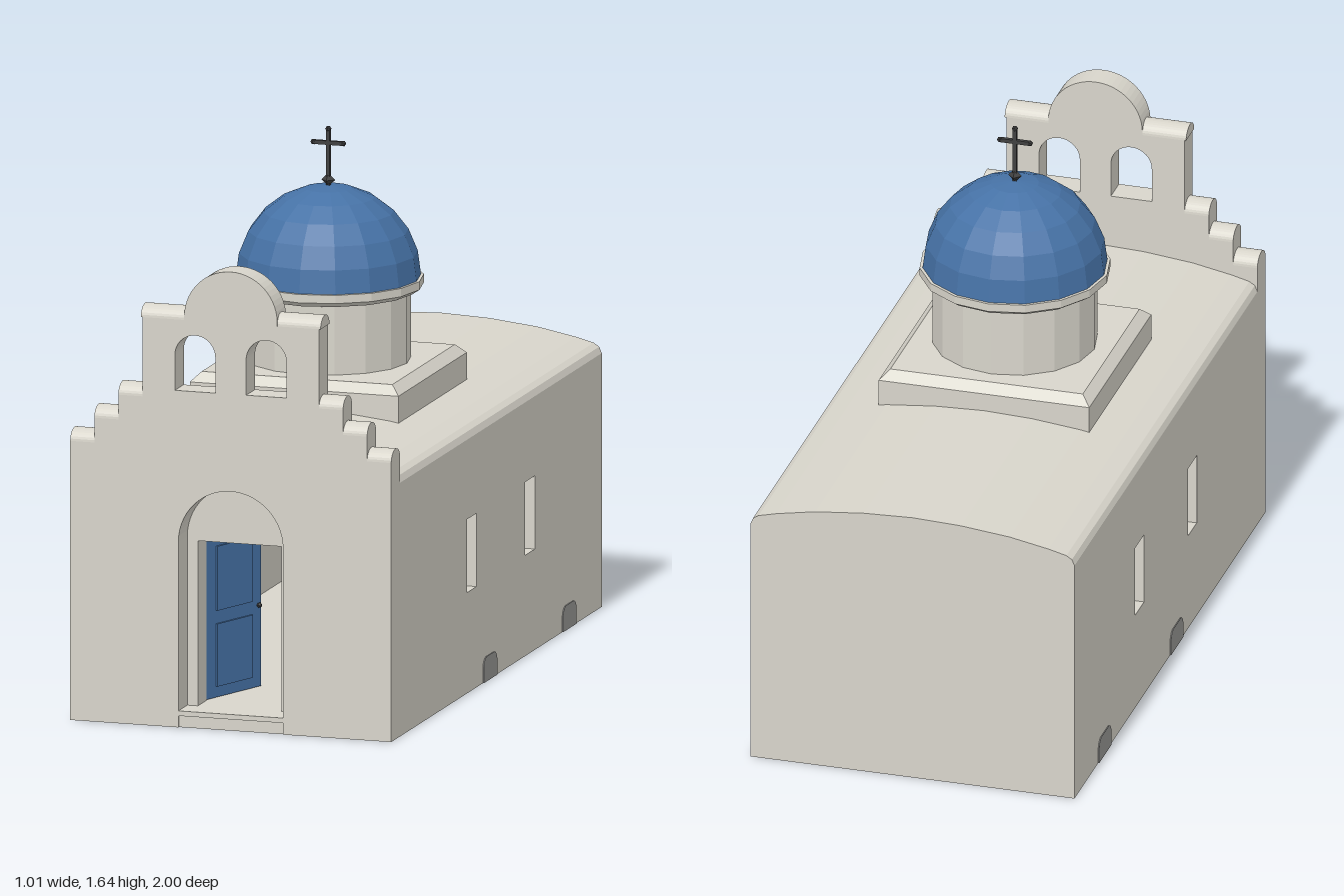
import * as THREE from 'three';

const mat = (name, color) => { const m = new THREE.MeshStandardMaterial({ color }); m.name = name; return m; };

export function createModel() {
  const model = new THREE.Group();
  model.name = 'domedChapel';
  const white = mat('whitewash', 0xd8d5cb);
  const blue = mat('blue', 0x4672a6);
  const dark = mat('darkIron', 0x404040);
  const grey = mat('greyStone', 0x989896);
  const tan = mat('ochre', 0xb08f5f);

  // Helpers: faceted mesh, box from limits, extrusion along z
  const add = (name, geo, material, x = 0, y = 0, z = 0, parent = model) => {
    const g = geo.index ? geo.toNonIndexed() : geo;
    g.computeVertexNormals();
    const m = new THREE.Mesh(g, material);
    m.name = name;
    m.position.set(x, y, z);
    parent.add(m);
    return m;
  };
  const box = (name, material, x0, x1, y0, y1, z0, z1, parent) =>
    add(name, new THREE.BoxGeometry(x1 - x0, y1 - y0, z1 - z0), material,
      (x0 + x1) / 2, (y0 + y1) / 2, (z0 + z1) / 2, parent);
  const extrude = (shape, depth, curveSegments = 12) =>
    new THREE.ExtrudeGeometry(shape, { depth, bevelEnabled: false, curveSegments });
  const polygon = pts => new THREE.Shape(pts.map(p => new THREE.Vector2(...p)));
  const rect = (x0, x1, y0, y1) => polygon([[x0, y0], [x1, y0], [x1, y1], [x0, y1]]);

  const FRONT = 0.915, EAVE = 0.75, CZ = 0.073;

  // Stepped facade with arched gable, bell openings and door niche
  const facade = new THREE.Shape();
  facade.moveTo(0.163, 0);
  [[0.5, 0], [0.5, 0.845], [0.425, 0.845], [0.425, 0.92], [0.35, 0.92], [0.35, 0.995],
    [0.275, 0.995], [0.275, 1.235], [0.145, 1.235]].forEach(p => facade.lineTo(...p));
  facade.absarc(0, 1.245, 0.145, 0, Math.PI, false);
  [[-0.145, 1.235], [-0.275, 1.235], [-0.275, 0.995], [-0.35, 0.995], [-0.35, 0.92], [-0.425, 0.92],
    [-0.425, 0.845], [-0.5, 0.845], [-0.5, 0], [-0.163, 0]].forEach(p => facade.lineTo(...p));
  facade.lineTo(-0.163, 0.562);
  facade.absarc(0, 0.562, 0.163, Math.PI, 0, true);
  for (const s of [-1, 1]) {
    const hole = new THREE.Path();
    hole.moveTo(s * 0.111 - 0.063, 1.02);
    hole.lineTo(s * 0.111 + 0.063, 1.02);
    hole.absarc(s * 0.111, 1.127, 0.063, 0, Math.PI, false);
    facade.holes.push(hole);
  }
  add('facade', extrude(facade, 1 - FRONT, 14), white, 0, 0, FRONT);

  // Rounded copings on every facade step
  const copingShape = new THREE.Shape();
  copingShape.absellipse(0, 0, 0.0425, 0.035, 0, Math.PI, false);
  for (const [x0, x1, top] of [[0.415, 0.5, 0.88], [0.34, 0.425, 0.955], [0.265, 0.35, 1.03], [0.135, 0.28, 1.27]]) {
    for (const s of [-1, 1]) {
      const g = extrude(copingShape, x1 - x0, 8).rotateY(Math.PI / 2);
      add('coping', g, white, s > 0 ? x0 : -x1, top - 0.035, 0.9575);
    }
  }

  // Side walls with window openings, dark panes and base vents
  const T = 0.06;
  const windows = [[0.19, 0.28], [-0.365, -0.272]];
  const wallShape = rect(-1, FRONT, 0, EAVE);
  windows.forEach(([a, b]) => wallShape.holes.push(rect(a, b, 0.305, 0.527)));
  const ventShape = w => {
    const s = new THREE.Shape(), r = 0.03, h = 0.075;
    s.moveTo(-w, 0);
    s.lineTo(w, 0);
    s.absarc(w - r, h - r, r, 0, Math.PI / 2, false);
    s.absarc(-w + r, h - r, r, Math.PI / 2, Math.PI, false);
    return s;
  };
  for (const s of [-1, 1]) {
    add('sideWall', extrude(wallShape, T).rotateY(-Math.PI / 2), white, s > 0 ? 0.5 : -0.5 + T);
    windows.forEach(([a, b]) =>
      add('windowPane', new THREE.BoxGeometry(0.008, 0.23, b - a + 0.01), dark, s * 0.443, 0.416, (a + b) / 2));
    for (const z of [0.065, -0.688])
      add('baseVent', extrude(ventShape(0.064), 0.004, 5).rotateY(s * Math.PI / 2), grey, s * 0.499, 0, z);
  }

  // Back wall, door wall and floor
  box('backWall', white, -0.44, 0.44, 0, EAVE, -1, -0.94);
  const doorWall = rect(-0.44, 0.44, 0, EAVE);
  doorWall.holes.push(rect(-0.13, 0.13, 0.05, 0.55));
  add('doorWall', extrude(doorWall, 0.08), white, 0, 0, FRONT - 0.08);
  box('floor', white, -0.44, 0.44, 0, 0.05, -0.94, 0.835);
  box('doorStep', white, -0.163, 0.163, 0, 0.035, FRONT, 0.995);
  box('doorStepTop', white, -0.163, 0.163, 0.035, 0.05, FRONT, 1);

  // Shallow vaulted roof with rounded eaves
  const half = [[0.5, EAVE], [0.5, 0.768], [0.492, 0.787], [0.475, 0.798], [0.42, 0.812],
    [0.3, 0.835], [0.15, 0.851]];
  const roof = polygon([...half, [0, 0.857], ...half.map(([x, y]) => [-x, y]).reverse()]);
  add('roof', extrude(roof, 1 + FRONT), white, 0, 0, -1);

  // Square plinth, drum, cornice and dome
  box('plinth', white, -0.325, 0.325, 0.78, 0.912, CZ - 0.325, CZ + 0.325);
  add('plinthBevel', new THREE.CylinderGeometry(0.297 * Math.SQRT2, 0.325 * Math.SQRT2, 0.028, 4).rotateY(Math.PI / 4),
    white, 0, 0.926, CZ);
  const ring = (name, top, bottom, y0, y1) =>
    add(name, new THREE.CylinderGeometry(top, bottom, y1 - y0, 16), white, 0, (y0 + y1) / 2, CZ);
  ring('drum', 0.245, 0.245, 0.93, 1.16);
  ring('corniceUnderside', 0.284, 0.262, 1.15, 1.165);
  ring('cornice', 0.284, 0.284, 1.165, 1.19);
  add('dome', new THREE.SphereGeometry(0.275, 16, 6, 0, Math.PI * 2, 0, Math.PI / 2), blue, 0, 1.19, CZ);

  // Cross with knobbed ends
  const cross = new THREE.Group();
  cross.name = 'cross';
  cross.position.set(0, 0, CZ);
  model.add(cross);
  add('crossBase', new THREE.OctahedronGeometry(0.021), dark, 0, 1.48, 0, cross);
  box('crossShaft', dark, -0.006, 0.006, 1.46, 1.635, -0.006, 0.006, cross);
  box('crossArm', dark, -0.045, 0.045, 1.586, 1.598, -0.006, 0.006, cross);
  for (const [x, y] of [[-0.046, 1.592], [0.046, 1.592], [0, 1.634]])
    add('crossKnob', new THREE.IcosahedronGeometry(0.0095), dark, x, y, 0, cross);

  // Panelled door standing open
  const door = new THREE.Group();
  door.name = 'door';
  door.position.set(-0.13, 0.05, 0.835);
  door.rotation.y = 1.2;
  model.add(door);
  box('doorLeaf', blue, 0, 0.255, 0.002, 0.497, -0.02, 0, door);
  for (const [y0, y1] of [[0.035, 0.225], [0.265, 0.46]])
    box('doorPanel', blue, 0.045, 0.21, y0, y1, 0, 0.006, door);
  add('doorHandle', new THREE.IcosahedronGeometry(0.009), dark, 0.238, 0.25, 0.008, door);

  // Interior: painted end wall, altar table and candles
  box('innerWallUpper', tan, -0.44, 0.44, 0.14, EAVE, -0.94, -0.932);
  box('innerWallBase', grey, -0.44, 0.44, 0.05, 0.14, -0.94, -0.932);
  box('altarPedestal', dark, -0.025, 0.025, 0.05, 0.247, -0.03, 0.03);
  box('altarTop', dark, -0.067, 0.067, 0.247, 0.262, -0.06, 0.06);
  for (const x of [-0.04, 0, 0.04]) {
    const top = x ? 0.305 : 0.32;
    add('candle', new THREE.CylinderGeometry(0.004, 0.004, top - 0.262, 6), tan, x, (top + 0.262) / 2, 0);
    add('flame', new THREE.OctahedronGeometry(0.007).scale(1, 1.8, 1), tan, x, top + 0.012, 0);
  }
  return model;
}
